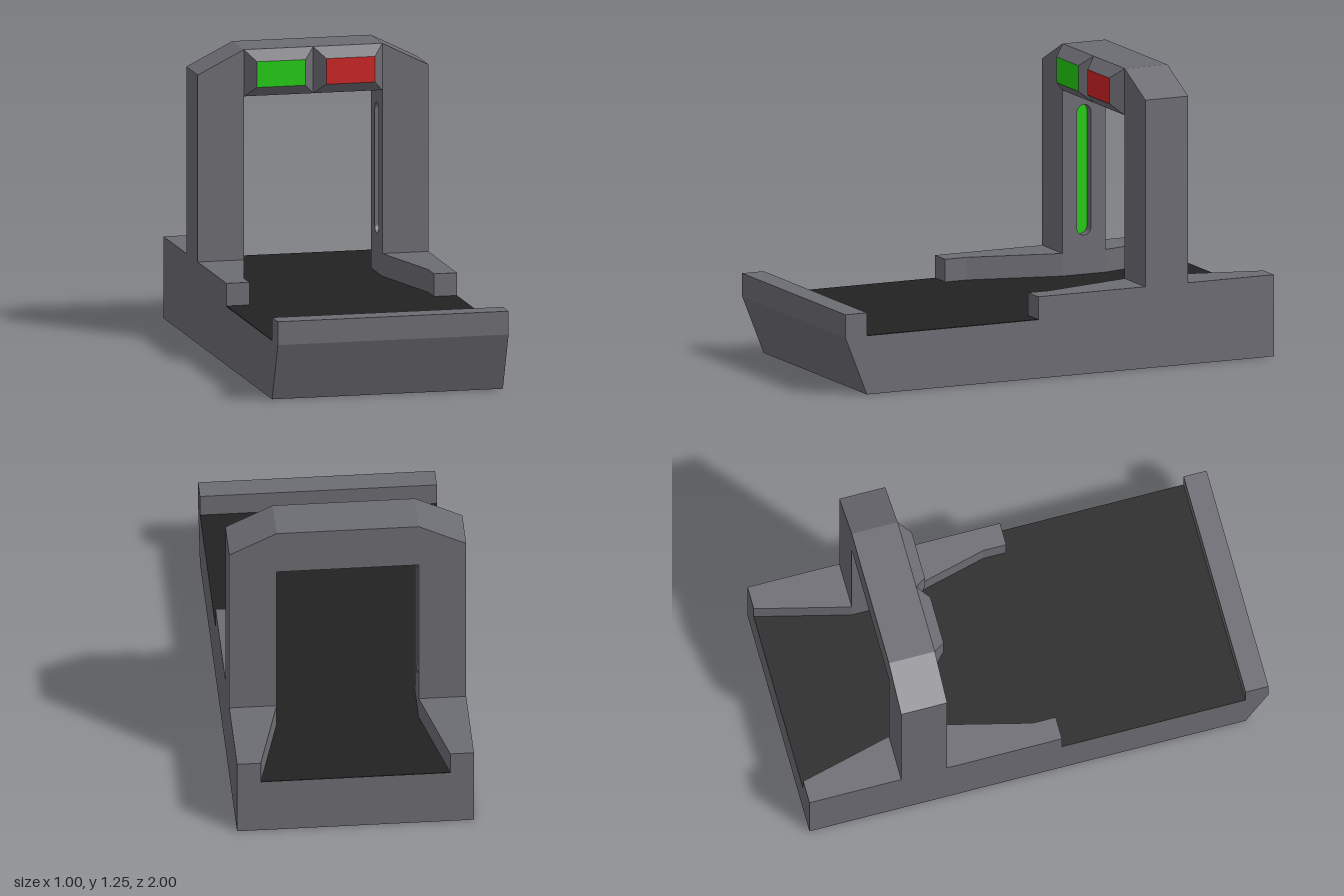
import * as THREE from 'three';

const mat = (name, color) => {
  const m = new THREE.MeshStandardMaterial({ color });
  m.name = name;
  return m;
};

export function createModel() {
  const grey = mat('grey casing', 0x6c6c73);
  const black = mat('black belt', 0x222222);
  const green = mat('green light', 0x22cc11);
  const red = mat('red light', 0xcc2222);

  const model = new THREE.Group();
  model.name = 'conveyorScanner';

  const add = (name, geometry, material) => {
    const mesh = new THREE.Mesh(geometry, material);
    mesh.name = name;
    model.add(mesh);
    return mesh;
  };
  const shapeOf = (pts) => new THREE.Shape(pts.map(([x, y]) => new THREE.Vector2(x, y)));
  // extrusion centred on its own depth
  const extrude = (shape, depth) =>
    new THREE.ExtrudeGeometry(shape, { depth, bevelEnabled: false, curveSegments: 8 }).translate(0, 0, -depth / 2);
  // shape drawn in (z, y), extruded along x
  const alongX = (shape, depth) => extrude(shape, depth).rotateY(-Math.PI / 2);
  // shape drawn in (x, z), extruded along y
  const alongY = (shape, depth) => extrude(shape, depth).rotateX(Math.PI / 2);
  // round-ended slot: length along the first or second axis
  const slot = (Type, cx, cy, length, width, upright) => {
    const s = new Type(), r = width / 2, h = length / 2 - r;
    if (upright) {
      s.absarc(cx, cy + h, r, 0, Math.PI);
      s.absarc(cx, cy - h, r, Math.PI, Math.PI * 2);
    } else {
      s.absarc(cx + h, cy, r, -Math.PI / 2, Math.PI / 2);
      s.absarc(cx - h, cy, r, Math.PI / 2, Math.PI * 1.5);
    }
    s.closePath();
    return s;
  };

  // base with sloped nose and front lip
  add('base', alongX(shapeOf([
    [-1, 0], [0.9, 0], [1, 0.25], [1, 0.35], [0.9, 0.35], [0.9, 0.25], [-1, 0.25],
  ]), 1), grey);
  add('belt', new THREE.BoxGeometry(0.999, 0.004, 1.899).translate(0, 0.251, -0.05), black);

  // arch shell; its opening is lined by slotted plates
  const D = 0.045, inX = 0.3 + D, inY = 1.05 + D;
  add('archShell', extrude(shapeOf([
    [-0.5, 0.35], [-0.5, 1.15], [-0.3, 1.25], [0.3, 1.25], [0.5, 1.15], [0.5, 0.35],
    [inX, 0.35], [inX, inY], [-inX, inY], [-inX, 0.35],
  ]), 0.2).translate(0, 0, -0.5), grey);

  for (const side of [-1, 1]) {
    const label = side > 0 ? 'left' : 'right';

    // guide rail, narrowing the belt at the arch
    add(label + 'Rail', alongY(shapeOf([
      [0.5, -1], [0.4, -1], [0.3, -0.6], [0.3, -0.4], [0.4, 0], [0.4, 0.1], [0.5, 0.1],
    ].map(([x, z]) => [x * side, z])), 0.1).translate(0, 0.3, 0), grey);

    // post lining with upright sensor slot
    const lining = shapeOf([[-0.6, 0.35], [-0.4, 0.35], [-0.4, 1.05], [-0.6, 1.05]]);
    lining.holes.push(slot(THREE.Path, -0.5, 0.7, 0.56, 0.066, true));
    add(label + 'PostLining', alongX(lining, D).translate(side * (0.3 + D / 2), 0, 0), grey);
    add(label + 'PostLight', alongX(slot(THREE.Shape, -0.5, 0.7, 0.56, 0.066, true), 0.004)
      .translate(side * (inX - 0.002), 0, 0), green);
    add(label + 'BeamLight', alongY(slot(THREE.Shape, side * 0.15, -0.5, 0.17, 0.055, false), 0.004)
      .translate(0, inY - 0.002, 0), green);

    // tapered signal lamp on the front of the beam
    const lamp = new THREE.BoxGeometry(0.3, 0.2, 0.05);
    const p = lamp.attributes.position;
    for (let i = 0; i < p.count; i++) {
      if (p.getZ(i) > 0) p.setXY(i, p.getX(i) * 0.7, p.getY(i) * 0.55);
    }
    lamp.computeVertexNormals();
    lamp.translate(side * 0.15, 1.15, -0.375);
    add(label + 'SignalLamp', lamp, [grey, grey, grey, grey, side > 0 ? red : green, grey]);
  }

  // beam lining with two sensor slots
  const beam = shapeOf([[-inX, -0.6], [inX, -0.6], [inX, -0.4], [-inX, -0.4]]);
  for (const side of [-1, 1]) beam.holes.push(slot(THREE.Path, side * 0.15, -0.5, 0.17, 0.055, false));
  add('beamLining', alongY(beam, D).translate(0, 1.05 + D / 2, 0), grey);

  return model;
}
